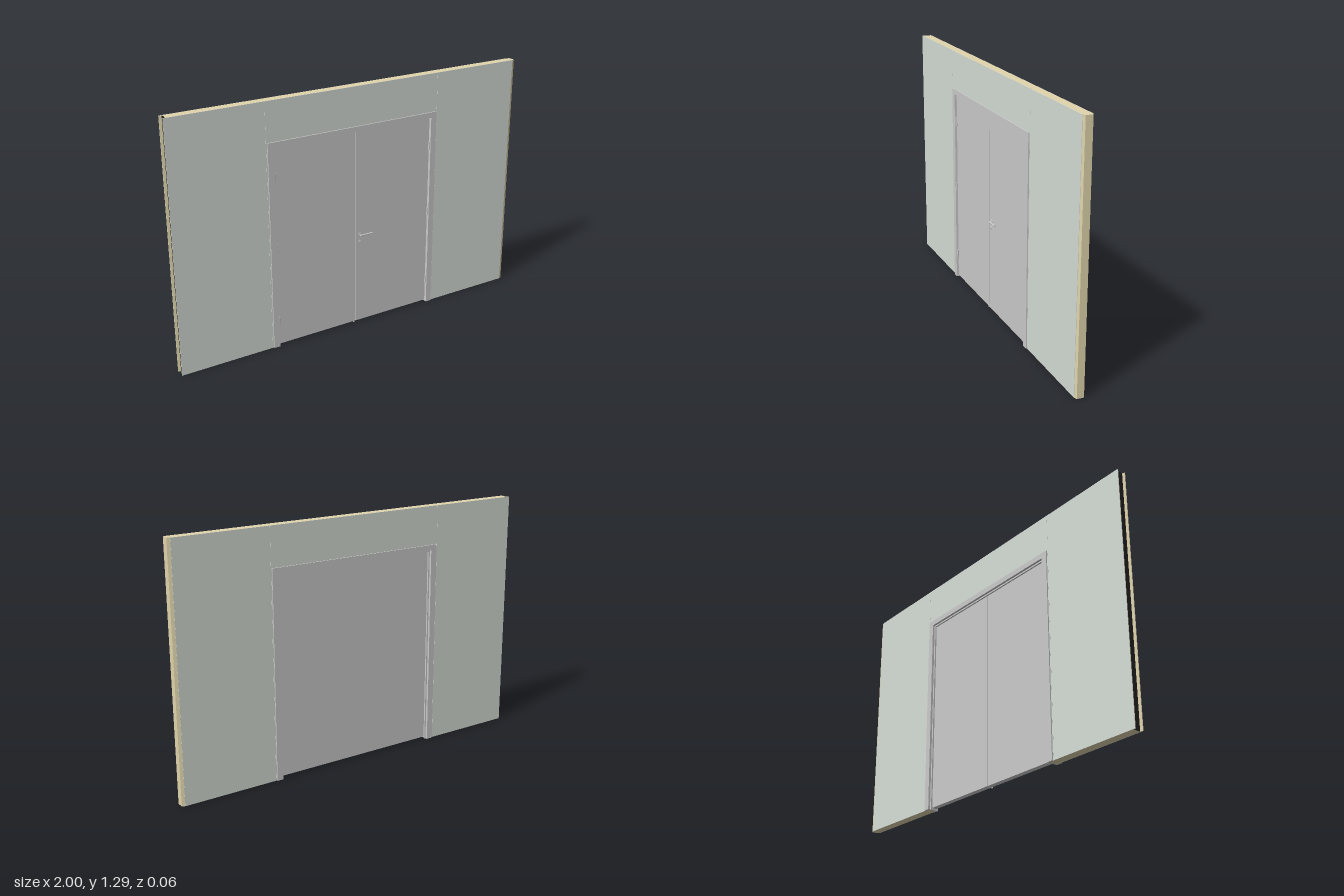
import * as THREE from 'three';

const mat = (color) => new THREE.MeshStandardMaterial({ color, roughness: 0.8 });
const sheetMat = mat(0xd7ded7), coreMat = mat(0xe0d5ac), sealMat = mat(0x222222);
const grey = mat(0xcccccc);

const H = 1.293;                    // wall height
const WALL_Z = -0.0015, HALF = 0.0245; // wall mid-plane and half thickness
const SKIN = 0.0015;                // metal sheet thickness
const PITCH = 0.49625;              // panel width
const OPEN = { l: -0.476, r: 0.463, top: 1.073 }; // hole in the wall

function add(parent, name, geo, material, x = 0, y = 0, z = 0) {
  const m = new THREE.Mesh(geo, material);
  m.name = name;
  m.position.set(x, y, z);
  parent.add(m);
  return m;
}

// Box given by its limits
function block(parent, name, material, x0, x1, y0, y1, z0, z1) {
  return add(parent, name, new THREE.BoxGeometry(x1 - x0, y1 - y0, z1 - z0), material,
    (x0 + x1) / 2, (y0 + y1) / 2, (z0 + z1) / 2);
}

// Sandwich panel piece: foam core with optional groove (left) and tongue (right), two metal skins
function panelPiece(parent, x0, x1, y0, y1, groove, tongue) {
  const h = HALF - SKIN, t = 0.018;
  const pts = [[x0, -h], [x1, -h]];
  if (tongue) pts.push([x1 + 0.015, -t], [x1 + 0.015, t]);
  pts.push([x1, h], [x0, h]);
  if (groove) pts.push([x0, 0.0215], [x0 + 0.014, t], [x0 + 0.014, -t], [x0, -0.0215]);
  const shape = new THREE.Shape(pts.map(([x, z]) => new THREE.Vector2(x, -z)));
  const geo = new THREE.ExtrudeGeometry(shape, { depth: y1 - y0, bevelEnabled: false });
  geo.rotateX(-Math.PI / 2);
  add(parent, 'panelCore', geo, coreMat, 0, y0, WALL_Z);
  for (const s of [1, -1]) {
    const zc = WALL_Z + s * (HALF - SKIN / 2);
    block(parent, 'panelSheet', sheetMat, x0, x1 - 0.0006, y0, y1, zc - SKIN / 2, zc + SKIN / 2);
  }
}

// Upside-down U around the doorway, open at the floor
function surround(parent, name, outer, inner, z0, z1) {
  const shape = new THREE.Shape([
    [outer.l, 0], [inner.l, 0], [inner.l, inner.top], [inner.r, inner.top],
    [inner.r, 0], [outer.r, 0], [outer.r, outer.top], [outer.l, outer.top],
  ].map(([x, y]) => new THREE.Vector2(x, y)));
  add(parent, name, new THREE.ExtrudeGeometry(shape, { depth: z1 - z0, bevelEnabled: false }), grey, 0, 0, z0);
}

export function createModel() {
  const model = new THREE.Group();

  // Wall of four panels, the middle two cut for the doorway
  const wall = new THREE.Group();
  wall.name = 'wall';
  model.add(wall);
  for (let i = 0; i < 4; i++) {
    const x0 = -1 + i * PITCH, x1 = x0 + PITCH;
    const cut = i === 1 || i === 2;
    panelPiece(wall, x0, x1, cut ? OPEN.top : 0, H, true, true);
    if (i === 1) panelPiece(wall, x0, OPEN.l, 0, OPEN.top, true, false);
    if (i === 2) panelPiece(wall, OPEN.r, x1, 0, OPEN.top, false, true);
  }
  block(wall, 'grooveSeal', sealMat, -0.987, -0.985, 0, H, WALL_Z - 0.018, WALL_Z + 0.018);

  // Door frame: lining, casing on both faces, stop behind the leaves
  const frame = new THREE.Group();
  frame.name = 'doorFrame';
  model.add(frame);
  const clear = { l: -0.464, r: 0.451, top: 1.061 };
  const casing = { l: -0.498, r: 0.484, top: 1.09 };
  surround(frame, 'frontCasing', casing, clear, 0.023, 0.029);
  surround(frame, 'backCasing', casing, clear, -0.032, -0.026);
  surround(frame, 'lining', OPEN, clear, -0.026, 0.023);
  surround(frame, 'doorStop', { l: -0.464, r: 0.451, top: 1.061 },
    { l: -0.456, r: 0.443, top: 1.053 }, -0.02, -0.012);

  // Two leaves
  const split = -0.006, gap = 0.0015, front = 0.018;
  const leaves = [[-0.461, split - gap], [split + gap, 0.448]];
  for (const [a, b] of leaves) block(model, 'doorLeaf', grey, a, b, 0.009, 1.057, -0.011, front);
  block(model, 'meetingStrip', grey, split - 0.008, split + 0.008, 0.009, 1.057, -0.0125, -0.011);
  block(model, 'floorBolt', grey, split - 0.011, split - 0.005, 0.003, 0.016, 0.014, 0.0195);

  // Hinges on both sides
  for (const x of [-0.4615, 0.4485]) {
    for (const y of [0.14, 0.54, 0.91]) {
      add(model, 'hinge', new THREE.CylinderGeometry(0.005, 0.005, 0.045, 12), grey, x, y, 0.021);
    }
  }

  // Lever handle and lock plate on the front of the left leaf
  const handle = new THREE.Group();
  handle.name = 'handle';
  handle.position.set(0.022, 0.5, front);
  model.add(handle);
  const disc = (name, r, y, len) => add(handle, name,
    new THREE.CylinderGeometry(r, r, len, 24).rotateX(Math.PI / 2), grey, 0, y, len / 2);
  disc('handleRose', 0.013, 0, 0.003);
  disc('lockRose', 0.009, -0.035, 0.003);
  disc('lockCylinder', 0.004, -0.035, 0.005);
  disc('handleNeck', 0.004, 0, 0.012);
  add(handle, 'lever', new THREE.CylinderGeometry(0.004, 0.004, 0.074, 12).rotateZ(Math.PI / 2),
    grey, 0.034, 0, 0.01);

  return model;
}
